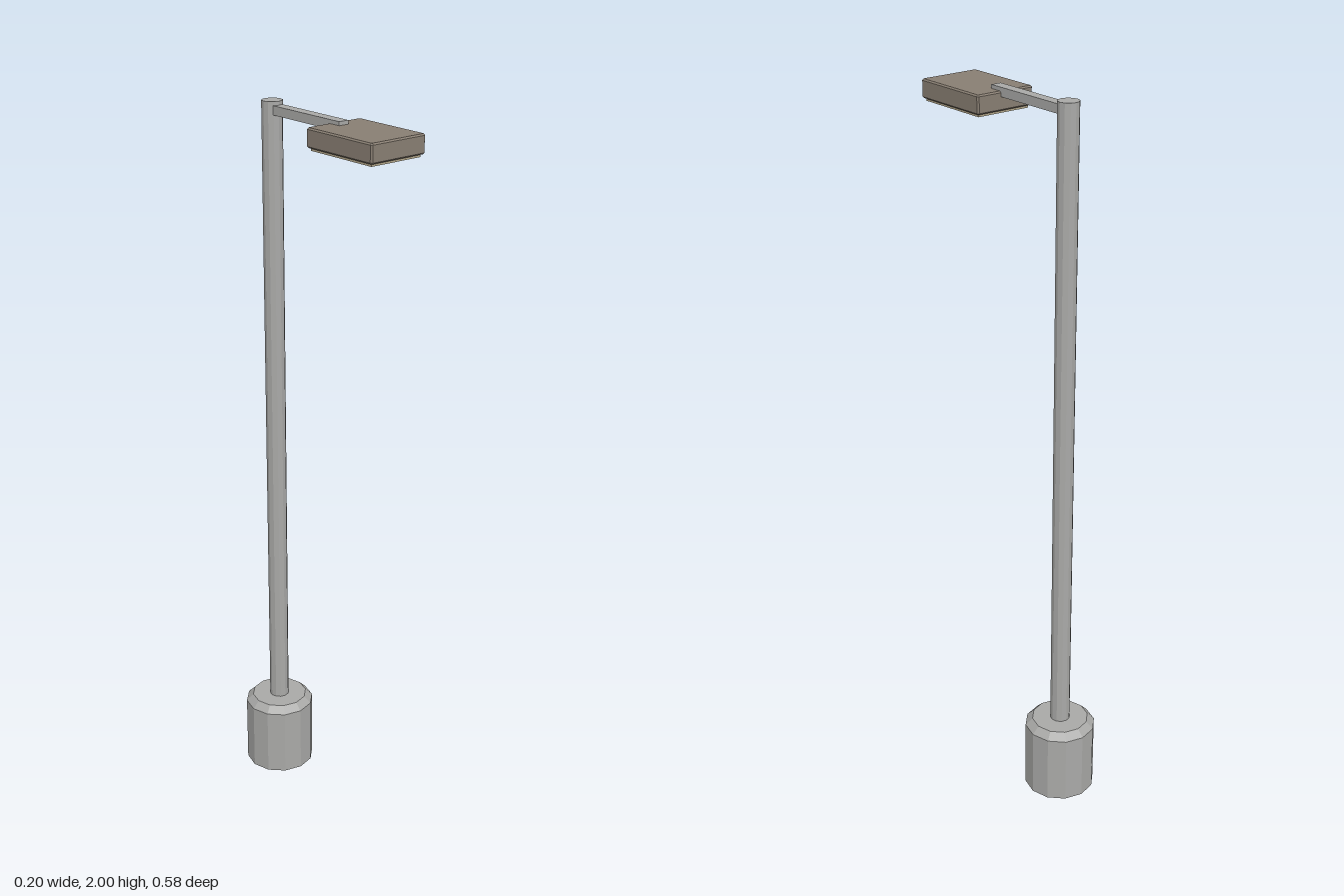
import * as THREE from 'three';

const POLE_Z = -0.19;
const HEAD_Z = 0.17;

export function createModel() {
  const model = new THREE.Group();
  model.name = 'streetLight';

  const flat = (name, color) => {
    const m = new THREE.MeshStandardMaterial({ color, flatShading: true });
    m.name = name;
    return m;
  };
  const grey = flat('concreteGrey', 0xa9a9a7);
  const brown = flat('housingBrown', 0x887e72);
  const warm = flat('lampPanel', 0xb0a488);

  const add = (name, geometry, material, x, y, z) => {
    const mesh = new THREE.Mesh(geometry, material);
    mesh.name = name;
    mesh.position.set(x, y, z);
    model.add(mesh);
    return mesh;
  };

  // Twelve-sided footing with a chamfered rim
  const profile = [[0, 0], [0.1, 0], [0.1, 0.2], [0.08, 0.22], [0, 0.22]]
    .map(([r, y]) => new THREE.Vector2(r, y));
  add('base', new THREE.LatheGeometry(profile, 12), grey, 0, 0, POLE_Z);

  // Tall pole
  add('pole', new THREE.CylinderGeometry(0.028, 0.028, 1.78, 12), grey, 0, 1.11, POLE_Z);

  // Horizontal arm reaching onto the lamp head
  add('arm', new THREE.BoxGeometry(0.03, 0.024, 0.28), grey, 0, 1.978, -0.05);

  // Lamp housing with small chamfers all round
  const bevel = 0.004;
  const w = 0.0875 - bevel, d = 0.119 - bevel, c = 0.002;
  const outline = new THREE.Shape([
    [-w + c, -d], [w - c, -d], [w, -d + c], [w, d - c],
    [w - c, d], [-w + c, d], [-w, d - c], [-w, -d + c],
  ].map(([x, y]) => new THREE.Vector2(x, y)));
  const housing = new THREE.ExtrudeGeometry(outline, {
    depth: 0.05 - 2 * bevel, bevelEnabled: true, bevelSegments: 1,
    bevelSize: bevel, bevelThickness: bevel,
  });
  housing.rotateX(-Math.PI / 2);
  add('lampHousing', housing, brown, 0, 1.93 + bevel, HEAD_Z);

  // Light panel standing slightly proud of the underside
  add('lightPanel', new THREE.BoxGeometry(0.158, 0.008, 0.22), warm, 0, 1.927, HEAD_Z);

  return model;
}
